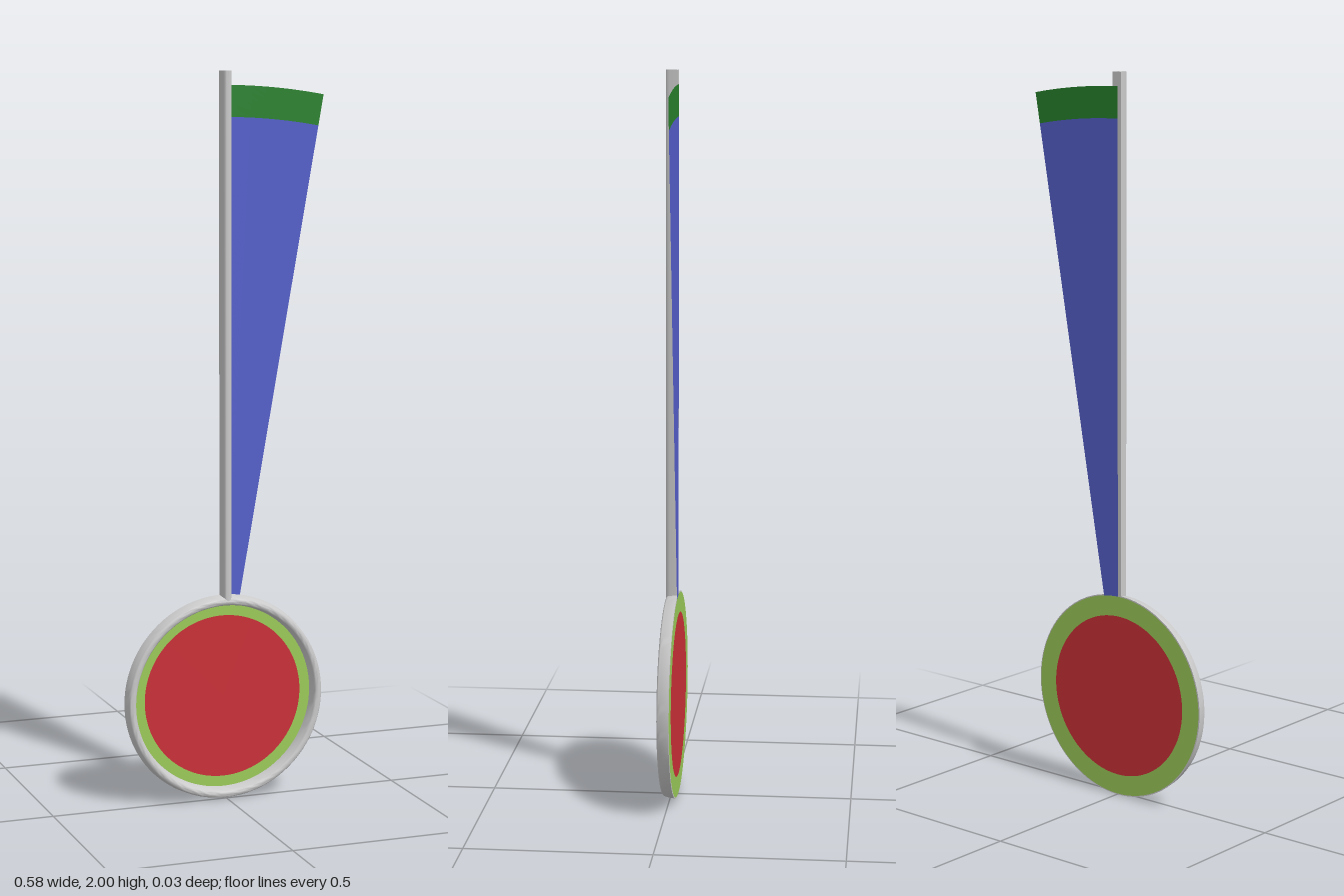
import * as THREE from 'three';
import { toCreasedNormals } from 'three/addons/utils/BufferGeometryUtils.js';

const BACK = -0.0185, FACE = -0.0195; // back of the frame, plane of the coloured panels
const CX = -0.003, CY = 0.287, R = 0.287, HALF = 0.015;

// Tapered section with a rounded front: [offset across, z], counter-clockwise
const SECTION = [
  [HALF, BACK], [0.0115, 0.004], [0.0095, 0.010], [0.006, 0.0138], [0, 0.015],
  [-0.006, 0.0138], [-0.0095, 0.010], [-0.0115, 0.004], [-HALF, BACK],
];

const grey = () => new THREE.MeshStandardMaterial({ color: 0xcccccc });

function add(group, name, geometry, material) {
  const mesh = new THREE.Mesh(geometry, material);
  mesh.name = name;
  group.add(mesh);
  return mesh;
}

// Flat ring or sector around the dial centre, visible from both sides
function panel(group, name, inner, outer, color, start = 0, length = Math.PI * 2) {
  const geometry = inner > 0
    ? new THREE.RingGeometry(inner, outer, 96, 1, start, length)
    : new THREE.CircleGeometry(outer, 96);
  const material = new THREE.MeshStandardMaterial({ color, side: THREE.DoubleSide });
  add(group, name, geometry, material).position.set(CX, CY, FACE);
}

export function createModel() {
  const model = new THREE.Group();
  model.name = 'discWithPoleAndPennant';

  // Round frame: the section swept around the dial
  const profile = [...SECTION, SECTION[0]].map(([d, z]) => new THREE.Vector2(R - HALF + d, z));
  const ring = new THREE.LatheGeometry(profile, 96).rotateX(Math.PI / 2);
  add(model, 'ringFrame', toCreasedNormals(ring, 0.7), grey()).position.set(CX, CY, 0);

  // Pole: the same section drawn upward from the frame
  const shape = new THREE.Shape(SECTION.map(([d, z]) => new THREE.Vector2(d, -z)));
  const bottom = CY + R - 0.012;
  const pole = new THREE.ExtrudeGeometry(shape, { depth: 2 - bottom, bevelEnabled: false });
  pole.rotateX(-Math.PI / 2);
  add(model, 'pole', toCreasedNormals(pole, 0.7), grey()).position.set(0.001, bottom, 0);

  // Dial: red centre with a light green border
  panel(model, 'dialCentre', 0, 0.228, 0xcc3038);
  panel(model, 'dialBorder', 0.228, 0.284, 0x9ccc5a);

  // Pennant: ten-degree sector beside the pole with a green outer band
  const sweep = Math.PI / 18, start = Math.PI / 2 - sweep;
  panel(model, 'pennant', 0.284, 1.59, 0x5560cc, start, sweep);
  panel(model, 'pennantBand', 1.59, 1.675, 0x28822d, start, sweep);

  return model;
}
